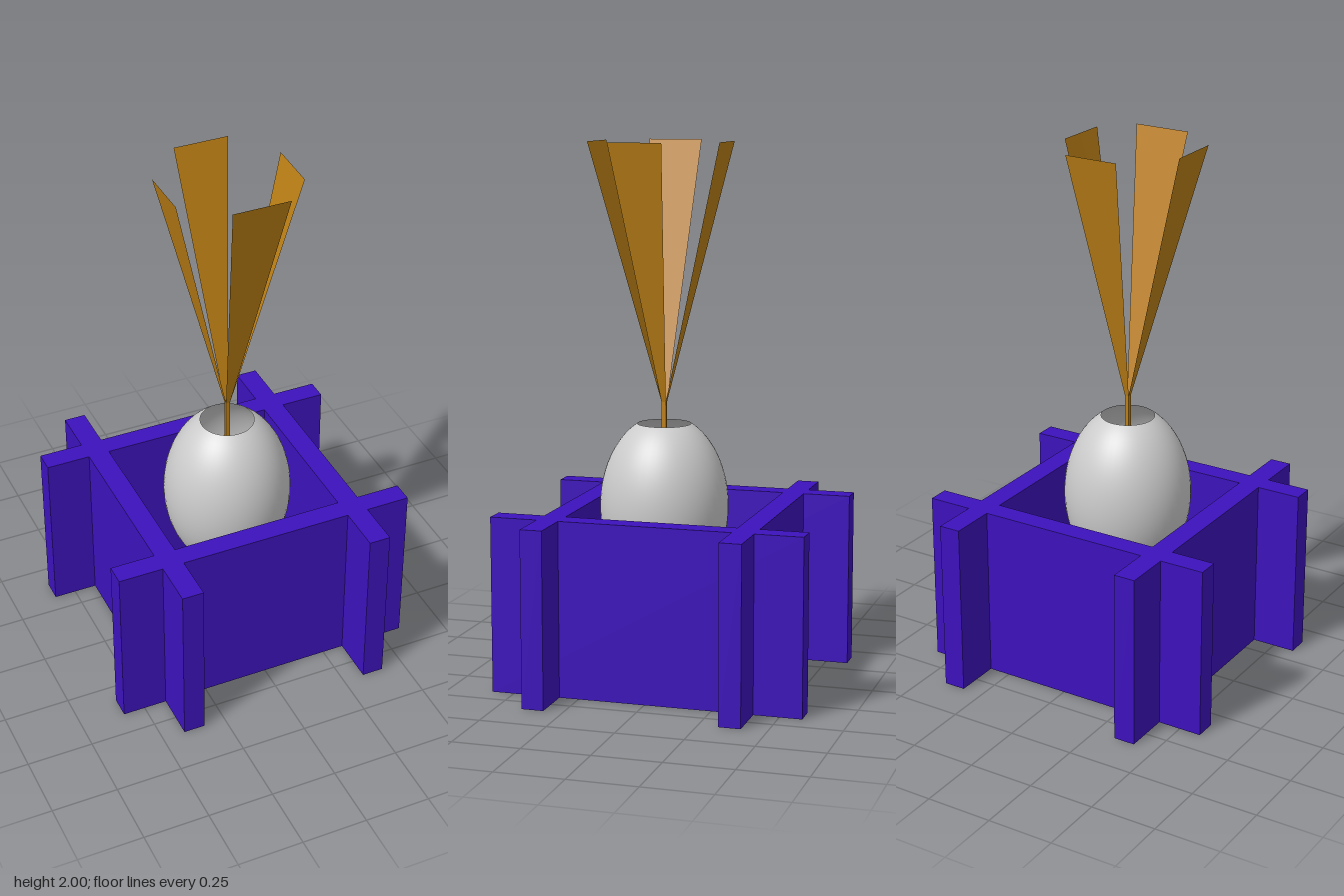
import * as THREE from 'three';

const AXIS_Z = 0.05; // the vase, tray and blades stand slightly forward of centre

const material = (color, extra = {}) => new THREE.MeshStandardMaterial({ color, ...extra });

function addMesh(parent, name, geometry, mat, x = 0, y = 0, z = 0) {
  const mesh = new THREE.Mesh(geometry, mat);
  mesh.name = name;
  mesh.position.set(x, y, z);
  parent.add(mesh);
  return mesh;
}

// Flat blade through four corners: two at the foot, two at the tip
function bladeGeometry(footA, footB, tipB, tipA) {
  const g = new THREE.BufferGeometry();
  g.setAttribute('position', new THREE.Float32BufferAttribute([...footA, ...footB, ...tipB, ...tipA], 3));
  g.setIndex([0, 1, 2, 0, 2, 3]);
  g.computeVertexNormals();
  return g;
}

export function createModel() {
  const model = new THREE.Group();
  model.name = 'eggVaseInFrame';
  const blue = material(0x3d12bc);
  const gold = material(0xbd8016, { side: THREE.DoubleSide });
  const orange = material(0xb8690f);
  const grey = material(0xcccccc, { side: THREE.DoubleSide });

  // Open frame of four crossing boards
  const frame = new THREE.Group();
  frame.name = 'frame';
  model.add(frame);
  for (const s of [-1, 1]) {
    addMesh(frame, 'crossBoard', new THREE.BoxGeometry(1.167, 0.655, 0.082), blue, 0, 0.3275, s * 0.364);
    addMesh(frame, 'sideBoard', new THREE.BoxGeometry(0.082, 0.655, 1.167), blue, s * 0.373, 0.3275, 0);
  }

  const centre = new THREE.Group();
  centre.name = 'centrepiece';
  centre.position.z = AXIS_Z;
  model.add(centre);

  // Egg-shaped shell, open at both ends
  const profile = [];
  for (let i = 0; i <= 32; i++) {
    const t = -1.14 + (2.28 * i) / 32;
    profile.push(new THREE.Vector2(0.24 * Math.cos(t), 0.65 + 0.341 * Math.sin(t)));
  }
  addMesh(centre, 'eggShell', new THREE.LatheGeometry(profile, 48), grey);

  // Tray: grey rim round an orange plate with a raised ring, hub and studs
  const rim = [[0.196, 0.09], [0.235, 0.09], [0.24, 0.1], [0.235, 0.12], [0.196, 0.12], [0.196, 0.09]];
  addMesh(centre, 'trayRim', new THREE.LatheGeometry(rim.map(p => new THREE.Vector2(...p)), 48), grey);
  addMesh(centre, 'trayPlate', new THREE.CylinderGeometry(0.196, 0.196, 0.03, 48), orange, 0, 0.1, 0);
  addMesh(centre, 'plateStep', new THREE.CylinderGeometry(0.11, 0.11, 0.04, 40), orange, 0, 0.1, 0);
  addMesh(centre, 'hub', new THREE.CylinderGeometry(0.025, 0.025, 0.055, 24), orange, 0, 0.1, 0);
  for (let i = 0; i < 4; i++) {
    const a = (i * Math.PI) / 2;
    addMesh(centre, 'stud', new THREE.CylinderGeometry(0.01, 0.01, 0.04, 12), blue,
      0.14 * Math.cos(a), 0.1, 0.14 * Math.sin(a));
  }

  // Slim square stem
  addMesh(centre, 'stem', new THREE.BoxGeometry(0.016, 0.93, 0.016), gold, 0, 0.575, 0);

  // Four blades fanning out to the top
  const f = 0.008, foot = 1.04, top = 2;
  const blades = {
    frontBlade: [[-f, foot, f], [f, foot, f], [0.12, top, 0.255], [-0.097, top, 0.255]],
    backBlade: [[f, foot, -f], [-f, foot, -f], [-0.097, top, -0.24], [0.11, top, -0.24]],
    leftBlade: [[f, foot, f], [f, foot, -f], [0.229, top, -0.06], [0.222, top, 0.145]],
    rightBlade: [[-f, foot, -f], [-f, foot, f], [-0.25, top, 0.135], [-0.25, top, -0.07]],
  };
  for (const [name, corners] of Object.entries(blades)) addMesh(centre, name, bladeGeometry(...corners), gold);

  return model;
}
